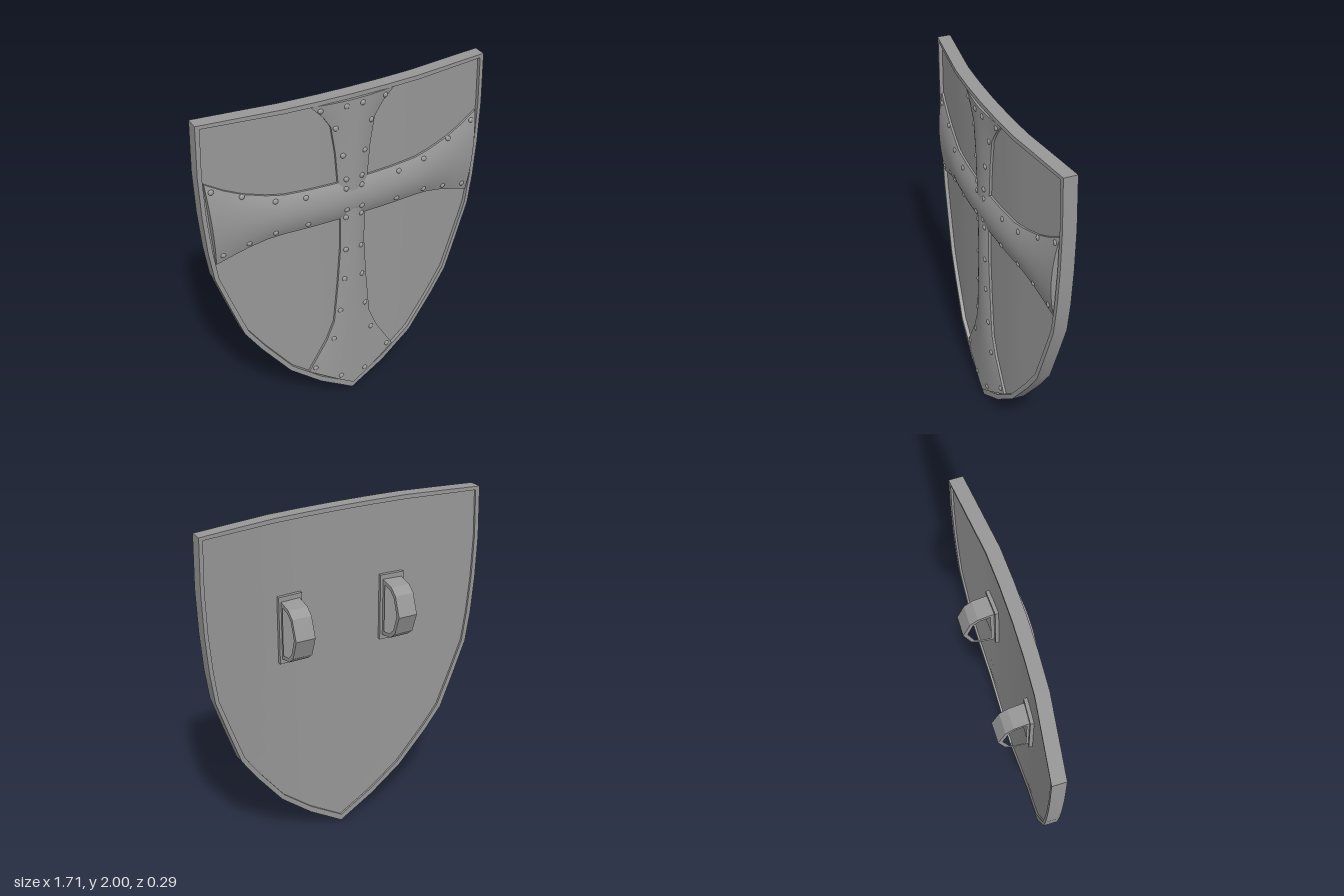
import * as THREE from 'three';
import { toCreasedNormals } from 'three/addons/utils/BufferGeometryUtils.js';

const STEEL = 0x979797;
const material = new THREE.MeshStandardMaterial({ color: STEEL });
const thinMaterial = new THREE.MeshStandardMaterial({ color: STEEL, side: THREE.DoubleSide });

// The whole shield is bowed around the vertical axis: rounded centre, straighter wings
function bow(x) {
  const d = Math.abs(x);
  return d < 0.4 ? -0.0875 * d * d : -0.014 - 0.135 * (d - 0.4);
}

const RIM_FRONT = 0.122, RIM_BACK = 0.045;
const PANEL_FRONT = 0.1, PANEL_BACK = 0.057;

// Right half of the rim, top centre to tip: [outer x, outer y, inner x, inner y]
const rimHalf = [
  [0, 2, 0, 1.975], [0.2, 2, 0.2, 1.975], [0.4, 2, 0.4, 1.975], [0.62, 1.998, 0.61, 1.975],
  [0.847, 1.995, 0.824, 1.975], [0.855, 1.7, 0.832, 1.7], [0.847, 1.45, 0.824, 1.45],
  [0.83, 1.23, 0.806, 1.235], [0.805, 1.05, 0.782, 1.055], [0.735, 0.845, 0.712, 0.855],
  [0.66, 0.635, 0.637, 0.65], [0.565, 0.495, 0.545, 0.515], [0.4, 0.285, 0.385, 0.31],
  [0.21, 0.13, 0.205, 0.165], [0, 0, 0, 0.04],
];

// Surface through a lattice of points (rows of equal length)
function lattice(rows, crease = 0.6) {
  const n = rows[0].length, index = [];
  for (let r = 0; r < rows.length - 1; r++) {
    for (let c = 0; c < n - 1; c++) {
      const a = r * n + c, b = a + n;
      index.push(a, b, b + 1, a, b + 1, a + 1);
    }
  }
  const geometry = new THREE.BufferGeometry();
  geometry.setAttribute('position', new THREE.Float32BufferAttribute(rows.flat(2), 3));
  geometry.setIndex(index);
  return toCreasedNormals(geometry, crease);
}

function addMesh(parent, name, geometry, mat = material) {
  const mesh = new THREE.Mesh(geometry, mat);
  mesh.name = name;
  parent.add(mesh);
  return mesh;
}

// Rectangular rim section swept around the outline
function rimGeometry() {
  const mirrored = rimHalf.slice(1, -1).reverse().map(([a, b, c, d]) => [-a, b, -c, d]);
  const loop = [...rimHalf, ...mirrored, rimHalf[0]];
  return lattice(loop.map(([xo, yo, xi, yi]) => {
    const fo = bow(xo), fi = bow(xi);
    const front = [xo, yo, RIM_FRONT + fo];
    return [front, [xo, yo, RIM_BACK + fo], [xi, yi, RIM_BACK + fi], [xi, yi, RIM_FRONT + fi], front];
  }));
}

// Bowed sheet filling the rim; dir -1 turns it to the back
function panelGeometry(z, dir) {
  const rows = rimHalf.slice(4).map(([, , x, y]) => [x, y]);
  return lattice(rows.map(([w, y]) => Array.from({ length: 21 }, (_, i) => {
    const x = dir * w * (i / 10 - 1);
    return [x, y, z + bow(x)];
  })));
}

// Domed band; each section is [edge, middle, edge] in x, y, with closed sides and ends
function bandGeometry(sections, edgeZ, height) {
  const steps = 12, base = PANEL_FRONT - 0.005;
  const row = ([a, m, b], flat) => {
    const points = [];
    for (let i = 0; i <= steps; i++) {
      const s = (2 * i) / steps - 1, t = Math.abs(s), e = s < 0 ? a : b;
      const x = m[0] + (e[0] - m[0]) * t, y = m[1] + (e[1] - m[1]) * t;
      const foot = [x, y, base + bow(x)];
      if (i === 0) points.push(foot);
      points.push(flat ? foot : [x, y, edgeZ + height * (1 - s * s) + bow(x)]);
      if (i === steps) points.push(foot);
    }
    return points;
  };
  const last = sections.length - 1;
  return lattice([row(sections[0], true), ...sections.map((s) => row(s)), row(sections[last], true)]);
}

function uprightBand() {
  // [half width, y at the edges, y at the middle]
  const profile = [
    [0.245, 1.973, 1.973], [0.175, 1.9, 1.9], [0.13, 1.83, 1.83], [0.105, 1.67, 1.67], [0.09, 1.48, 1.48],
    [0.075, 1.25, 1.25], [0.075, 1.05, 1.05], [0.092, 0.8, 0.8], [0.115, 0.545, 0.545],
    [0.165, 0.42, 0.41], [0.28, 0.225, 0.045],
  ];
  return bandGeometry(profile.map(([w, e, m]) => [[-w, e], [0, m], [w, e]]), 0.114, 0.02);
}

function crossbarBand() {
  // [x of upper edge, upper y, x of lower edge, lower y]
  const half = [
    [0.09, 1.48, 0.09, 1.245], [0.25, 1.484, 0.25, 1.245], [0.4, 1.492, 0.42, 1.245], [0.5, 1.51, 0.5, 1.235],
    [0.62, 1.545, 0.6, 1.21], [0.72, 1.59, 0.7, 1.175], [0.822, 1.65, 0.787, 1.142],
  ];
  const left = half.slice().reverse().map(([a, b, c, d]) => [-a, b, -c, d]);
  return bandGeometry([...left, ...half].map(([xu, yu, xl, yl]) =>
    [[xl, yl], [(xl + xu) / 2, (yl + yu) / 2], [xu, yu]]), 0.112, 0.03);
}

// Rivets on the right half: [x, y]
const rivets = [
  [0.047, 1.94], [0.19, 1.94], [0.105, 1.82], [0.065, 1.65], [0.047, 1.5], [0.047, 1.44], [0.047, 1.31],
  [0.047, 1.255], [0.047, 1.04], [0.055, 0.84], [0.08, 0.62], [0.122, 0.425], [0.24, 0.24], [0.08, 0.13],
  [0.79, 1.6], [0.63, 1.535], [0.455, 1.47], [0.285, 1.45],
  [0.75, 1.2], [0.605, 1.24], [0.46, 1.275], [0.275, 1.28],
];

// D-shaped strap on a small mounting plate
function makeHandle(side) {
  const handle = new THREE.Group();
  handle.name = side > 0 ? 'leftHandle' : 'rightHandle';
  // Closed D from a half profile [reach, height], mirrored top to bottom
  const dee = (half) => [...half, ...half.slice(0, -1).reverse().map(([r, h]) => [r, -h])]
    .map(([r, h]) => new THREE.Vector2(r, h));
  const shape = new THREE.Shape(dee([[-0.03, 0.17], [0.06, 0.152], [0.105, 0.115], [0.147, 0]]));
  shape.holes.push(new THREE.Path(dee([[-0.01, 0.142], [0.05, 0.13], [0.087, 0.098], [0.121, 0]])));
  const strap = new THREE.ExtrudeGeometry(shape, { depth: 0.116, bevelEnabled: false });
  strap.translate(0, 0, -0.058);
  strap.rotateY(Math.PI / 2);
  addMesh(handle, 'strap', strap);
  const plate = addMesh(handle, 'mountingPlate', new THREE.BoxGeometry(0.145, 0.395, 0.025));
  plate.position.z = 0.04;
  plate.rotation.y = side * 0.06;
  handle.position.set(side * 0.32, 1.36, 0);
  return handle;
}

export function createModel() {
  const shield = new THREE.Group();
  shield.name = 'shield';

  addMesh(shield, 'rim', rimGeometry());
  addMesh(shield, 'frontPanel', panelGeometry(PANEL_FRONT, 1));
  addMesh(shield, 'backPanel', panelGeometry(PANEL_BACK, -1));

  const cross = new THREE.Group();
  cross.name = 'cross';
  addMesh(cross, 'uprightBand', uprightBand(), thinMaterial);
  addMesh(cross, 'crossbarBand', crossbarBand(), thinMaterial);
  shield.add(cross);

  // Rivets are dropped onto the bands from the front
  const rivetGroup = new THREE.Group();
  rivetGroup.name = 'rivets';
  const dome = new THREE.SphereGeometry(0.016, 12, 6, 0, Math.PI * 2, 0, Math.PI / 2);
  dome.rotateX(Math.PI / 2);
  dome.scale(1, 1, 0.7);
  const ray = new THREE.Raycaster();
  for (const [px, y] of rivets) {
    for (const x of [px, -px]) {
      ray.set(new THREE.Vector3(x, y, 1), new THREE.Vector3(0, 0, -1));
      const hit = ray.intersectObject(cross, true)[0];
      const z = hit ? hit.point.z : PANEL_FRONT + bow(x);
      addMesh(rivetGroup, 'rivet', dome).position.set(x, y, z - 0.002);
    }
  }
  shield.add(rivetGroup);

  shield.add(makeHandle(1), makeHandle(-1));
  return shield;
}
